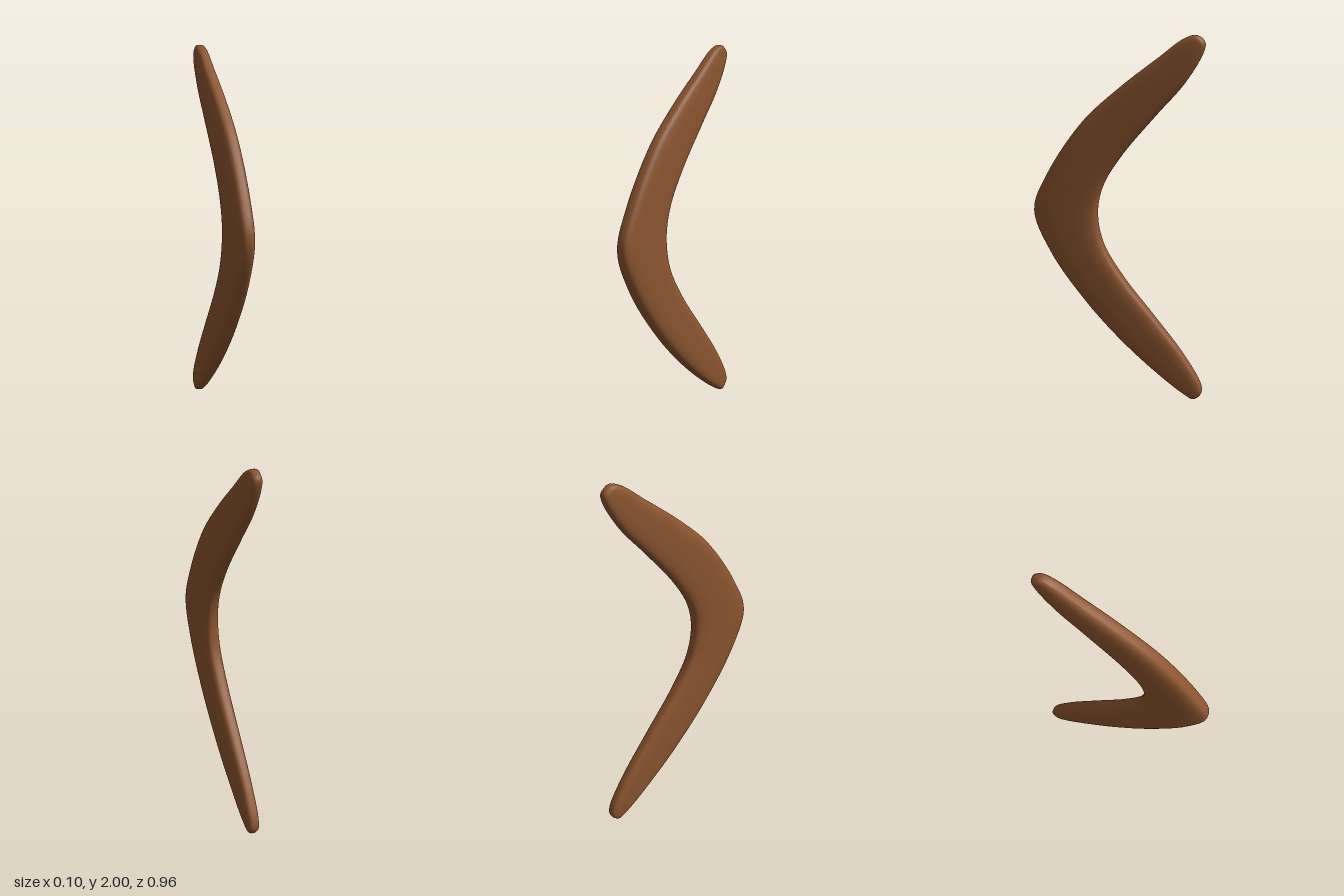
import * as THREE from 'three';
import { mergeVertices } from 'three/addons/utils/BufferGeometryUtils.js';

// Stations from lower tip to upper tip:
// [outer z, outer y, inner z, inner y, half thickness]
const STATIONS = [
  [-0.464, 0.016, -0.464, 0.016, 0],
  [-0.43, 0.0, -0.478, 0.05, 0.024],
  [-0.37, 0.03, -0.465, 0.105, 0.034],
  [-0.2, 0.15, -0.36, 0.27, 0.041],
  [0, 0.32, -0.2, 0.465, 0.046],
  [0.2, 0.53, -0.02, 0.68, 0.049],
  [0.39, 0.79, 0.09, 0.86, 0.05],
  [0.48, 1.02, 0.12, 1.03, 0.05],
  [0.405, 1.22, 0.09, 1.18, 0.05],
  [0.2, 1.525, -0.01, 1.35, 0.048],
  [0, 1.715, -0.2, 1.585, 0.045],
  [-0.2, 1.875, -0.34, 1.75, 0.04],
  [-0.33, 1.977, -0.43, 1.9, 0.033],
  [-0.39, 2.0, -0.445, 1.955, 0.024],
  [-0.43, 1.988, -0.43, 1.988, 0],
];
const ROWS = 112;
const SIDES = 48;

// Rounded-box cross-section: power below 1 squares off a circle
const squared = (v) => Math.sign(v) * Math.pow(Math.abs(v), 2 / 3.2);

function bladeGeometry() {
  const curve = (f) => new THREE.CatmullRomCurve3(STATIONS.map(f));
  const outer = curve((s) => new THREE.Vector3(s[4], s[1], s[0]));
  const inner = curve((s) => new THREE.Vector3(s[4], s[3], s[2]));
  const positions = [];
  const index = [];

  for (let i = 0; i <= ROWS; i++) {
    // cosine spacing packs rows near the rounded tips
    const u = i / ROWS;
    const t = 0.5 * u + 0.25 * (1 - Math.cos(Math.PI * u));
    const o = outer.getPoint(t);
    const n = inner.getPoint(t);
    const thick = Math.min(0.05, (o.x + n.x) / 2);
    for (let k = 0; k < SIDES; k++) {
      const a = (k / SIDES) * Math.PI * 2;
      const w = (1 + squared(Math.cos(a))) / 2;
      positions.push(
        thick * squared(Math.sin(a)),
        n.y + (o.y - n.y) * w,
        n.z + (o.z - n.z) * w
      );
      if (i < ROWS) {
        const p = i * SIDES + k;
        const q = i * SIDES + ((k + 1) % SIDES);
        if (i > 0) index.push(p, q, p + SIDES);
        if (i < ROWS - 1) index.push(q, q + SIDES, p + SIDES);
        if (i === 0) continue;
      }
    }
  }
  const geometry = new THREE.BufferGeometry();
  geometry.setAttribute('position', new THREE.Float32BufferAttribute(positions, 3));
  geometry.setIndex(index);
  const merged = mergeVertices(geometry, 1e-5);
  merged.computeVertexNormals();
  return merged;
}

export function createModel() {
  const wood = new THREE.MeshStandardMaterial({ color: 0x8b5530 });
  wood.name = 'brown wood';

  // Curved throwing blade with two rounded arms
  const blade = new THREE.Mesh(bladeGeometry(), wood);
  blade.name = 'boomerangBlade';

  const group = new THREE.Group();
  group.name = 'boomerang';
  group.add(blade);
  return group;
}
